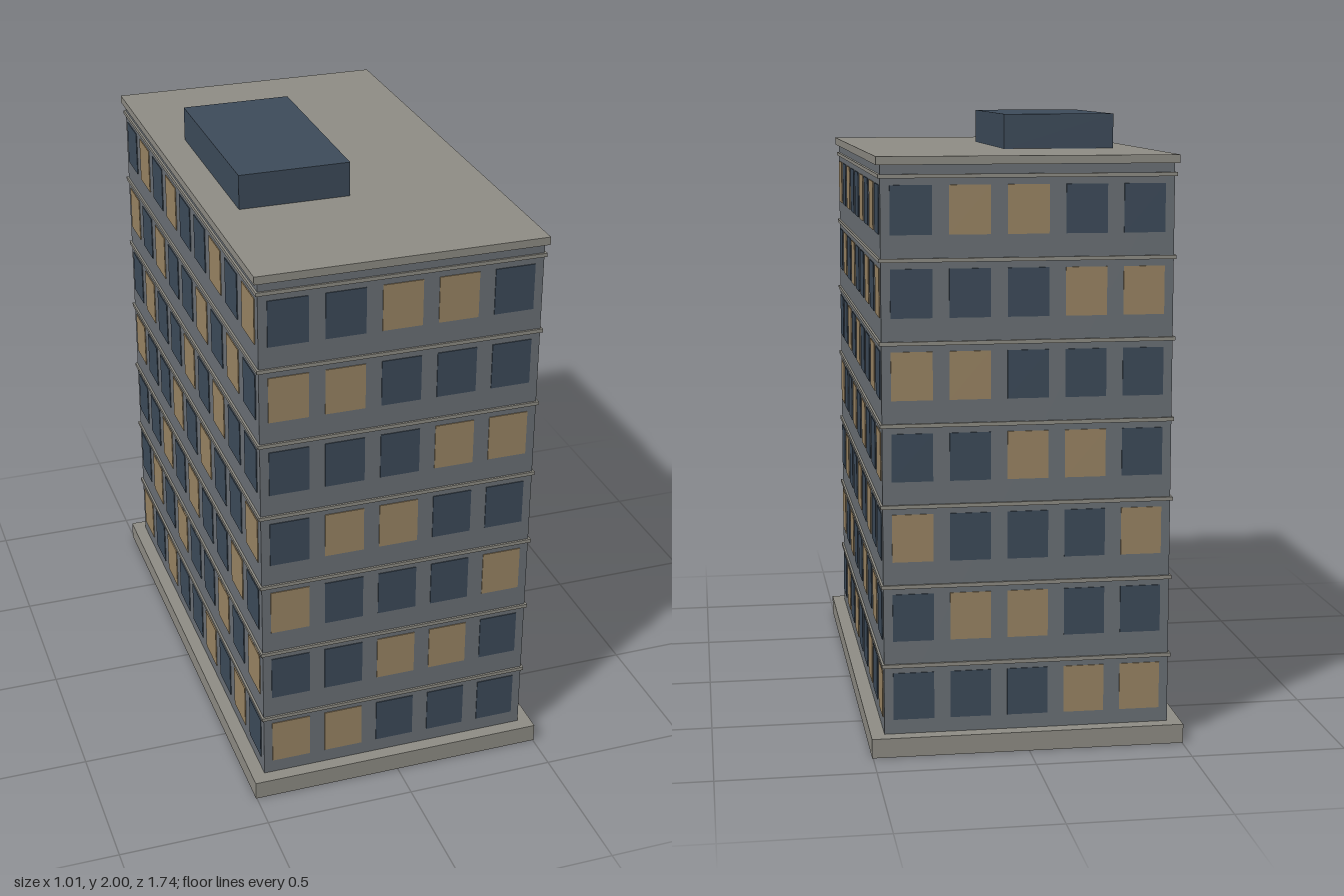
import * as THREE from 'three';

export function createModel() {
  const building = new THREE.Group();
  building.name = 'apartmentBlock';

  const mat = (name, color) => {
    const m = new THREE.MeshStandardMaterial({ color });
    m.name = name;
    return m;
  };
  const wall = mat('grey wall', 0x6b7176);
  const stone = mat('stone trim', 0x8f8d85);
  const glass = mat('dark glass', 0x3d4b5a);
  const glow = mat('lit glass', 0x9a8564);

  const addBox = (name, w, h, d, material, x, y, z, parent = building) => {
    const mesh = new THREE.Mesh(new THREE.BoxGeometry(w, h, d), material);
    mesh.name = name;
    mesh.position.set(x, y, z);
    parent.add(mesh);
    return mesh;
  };

  const halfX = 0.459, halfZ = 0.825;
  const floors = 7, storey = 0.2567, pitch = 0.1825;
  const winW = 0.13, winH = 0.152, winT = 0.006;

  // Plinth, main block, roof slab and rooftop plant room
  addBox('plinth', 1.006, 0.062, 1.74, stone, 0, 0.031, 0);
  addBox('mainBlock', halfX * 2, 1.8, halfZ * 2, wall, 0, 0.962, 0);
  addBox('roofSlab', 0.944, 0.026, 1.674, stone, 0, 1.873, 0);
  addBox('plantRoom', 0.368, 0.114, 0.66, glass, -0.184, 1.943, 0);

  for (let f = 0; f < floors; f++) {
    const level = new THREE.Group();
    level.name = `floor${f + 1}`;
    building.add(level);

    // Thin ledge above each row of windows
    addBox('ledge', 0.932, 0.012, 1.664, stone, 0, 0.285 + f * storey, 0, level);

    const y = 0.185 + f * 0.2562;
    for (const s of [-1, 1]) {
      // Front and back windows
      for (let i = 0; i < 5; i++) {
        const lit = (i + f * 3) % 5 < 2;
        addBox(lit ? 'litWindow' : 'darkWindow', winW, winH, winT,
          lit ? glow : glass, (i - 2) * pitch, y, s * halfZ, level);
      }
      // Side windows
      for (let j = 0; j < 9; j++) {
        const lit = (j * 2 + f * 3 + 1) % 5 < 2;
        addBox(lit ? 'litWindow' : 'darkWindow', winT, winH, winW,
          lit ? glow : glass, s * halfX, y, (j - 4) * pitch, level);
      }
    }
  }
  return building;
}
